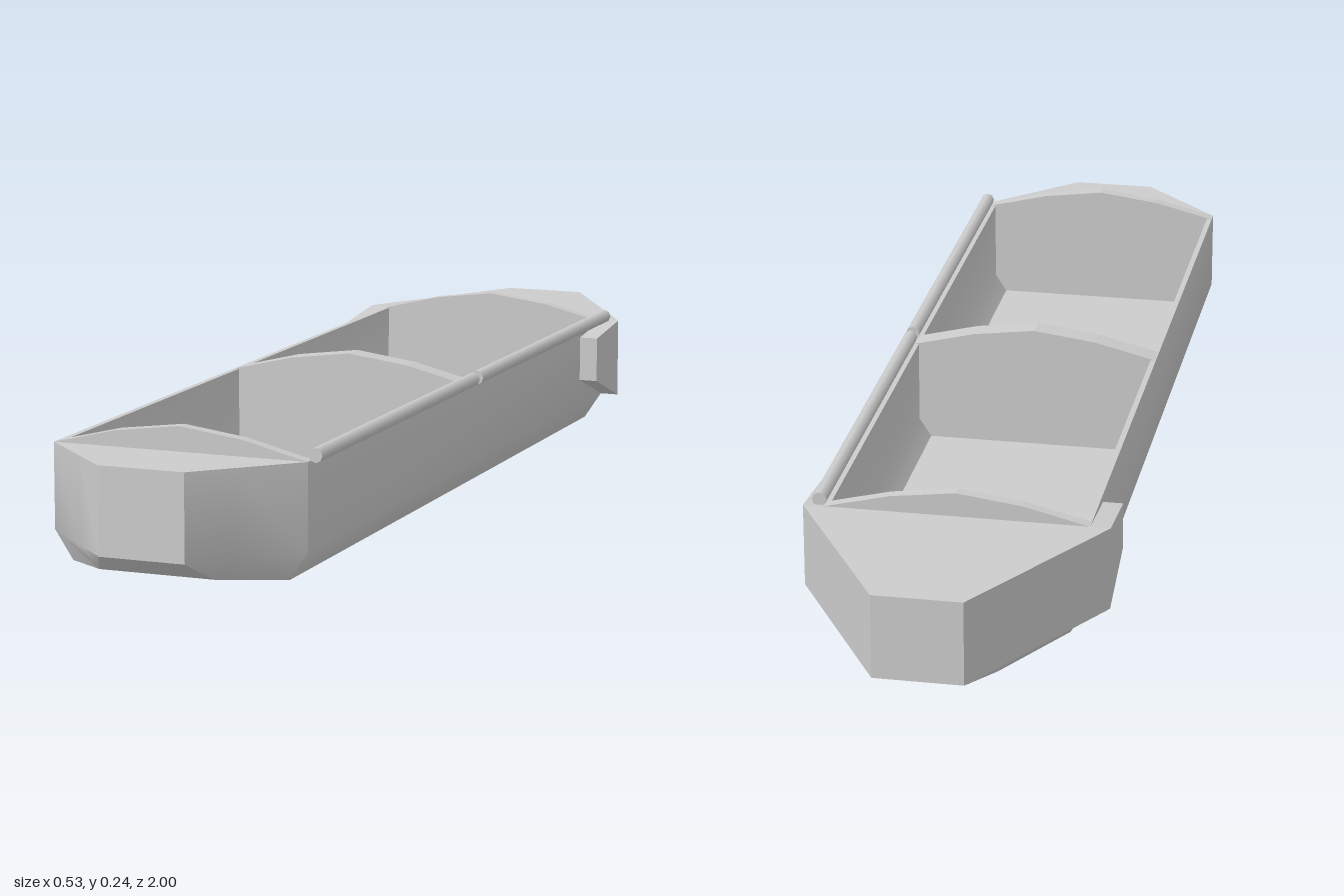
import * as THREE from 'three';
import { toCreasedNormals } from 'three/addons/utils/BufferGeometryUtils.js';

const STERN = -0.68, BOW = 0.85; // ends of the straight hull
const material = new THREE.MeshStandardMaterial({ color: 0xcccccc });

function add(parent, name, geometry, x = 0, y = 0, z = 0) {
  const mesh = new THREE.Mesh(geometry, material);
  mesh.name = name;
  mesh.position.set(x, y, z);
  parent.add(mesh);
  return mesh;
}

const shapeOf = (points) => new THREE.Shape(points.map(([x, y]) => new THREE.Vector2(x, y)));
const extrude = (points, depth) =>
  new THREE.ExtrudeGeometry(shapeOf(points), { depth, bevelEnabled: false });
// Right half outline, completed with its mirror image
const mirrored = (half) => [...half, ...half.slice().reverse().map(([x, y]) => [-x, y])];

// Solid through mirrored cross-sections, listed by rising z
function loft(sections) {
  const rings = sections.map(({ z, half }) => mirrored(half).map(([x, y]) => [x, y, z]));
  const n = rings[0].length, pos = [];
  const tri = (...corners) => corners.forEach((c) => pos.push(...c));
  for (let s = 0; s < rings.length - 1; s++) {
    for (let i = 0; i < n; i++) {
      const j = (i + 1) % n, lo = rings[s], hi = rings[s + 1];
      tri(lo[i], hi[i], lo[j]);
      tri(lo[j], hi[i], hi[j]);
    }
  }
  const first = rings[0], last = rings[rings.length - 1];
  for (let i = 1; i < n - 1; i++) {
    tri(first[0], first[i], first[i + 1]);
    tri(last[0], last[i + 1], last[i]);
  }
  const geometry = new THREE.BufferGeometry();
  geometry.setAttribute('position', new THREE.Float32BufferAttribute(pos, 3));
  return toCreasedNormals(geometry, 0.7);
}

export function createModel() {
  const barge = new THREE.Group();
  barge.name = 'barge';

  // Trough-shaped midship hull with thin walls and chamfered bilges
  const outer = [[0.23, 0.2], [0.23, 0.05], [0.197, 0]];
  const inner = [[0.22, 0.2], [0.22, 0.048], [0.198, 0.014]];
  const trough = [...mirrored(outer), ...mirrored(inner).reverse()];
  add(barge, 'hull', toCreasedNormals(extrude(trough, BOW - STERN), 0.7), 0, 0, STERN);

  // Bow, tapering in plan and rising underneath
  add(barge, 'bow', loft([
    { z: BOW, half: outer },
    { z: 0.94, half: [[0.138, 0.2], [0.138, 0.048], [0.105, 0.012]] },
    { z: 1, half: [[0.077, 0.2], [0.077, 0.05], [0.077, 0.048]] },
  ]));

  // Stern underbody
  add(barge, 'sternBottom', loft([
    { z: -1, half: [[0.077, 0.052], [0.077, 0.05]] },
    { z: -0.87, half: [[0.14, 0.052], [0.108, 0.013]] },
    { z: STERN, half: [[0.23, 0.052], [0.197, 0]] },
  ]));

  // Wider stern block above it, drawn in plan
  const plan = mirrored([[0.077, 1], [0.265, -STERN]]);
  const block = extrude(plan, 0.15);
  block.rotateX(-Math.PI / 2);
  add(barge, 'sternBlock', block, 0, 0.05, 0);

  // Side fairings that narrow towards the front
  for (const side of [-1, 1]) {
    const fairing = new THREE.BoxGeometry(0.035, 0.15, 0.135);
    const p = fairing.attributes.position;
    for (let i = 0; i < p.count; i++) {
      if (p.getZ(i) > 0) p.setY(i, p.getY(i) > 0 ? 0.06 : -0.025);
    }
    fairing.computeVertexNormals();
    add(barge, side > 0 ? 'leftFairing' : 'rightFairing', fairing,
      side * 0.2475, 0.125, STERN + 0.0675);
  }

  // Arched bulkheads at both ends and between the holds
  const arch = [[-0.197, 0.005], [0.197, 0.005], [0.229, 0.05], [0.229, 0.2],
    [0.115, 0.228], [0, 0.243], [-0.115, 0.228], [-0.229, 0.2], [-0.229, 0.05]];
  const bulkheads = [['rearBulkhead', STERN, 0.02], ['middleBulkhead', 0.06, 0.042],
    ['frontBulkhead', BOW - 0.022, 0.022]];
  for (const [name, z, depth] of bulkheads) add(barge, name, extrude(arch, depth), 0, 0, z);

  // Rolled covers along the left edge, one per hold
  for (const [name, z0, z1] of [['rearCoverRoll', -0.673, 0.072], ['frontCoverRoll', 0.09, 0.838]]) {
    const roll = new THREE.CylinderGeometry(0.0128, 0.0128, z1 - z0, 8);
    roll.rotateX(Math.PI / 2);
    add(barge, name, roll, 0.238, 0.209, (z0 + z1) / 2);
  }

  return barge;
}
